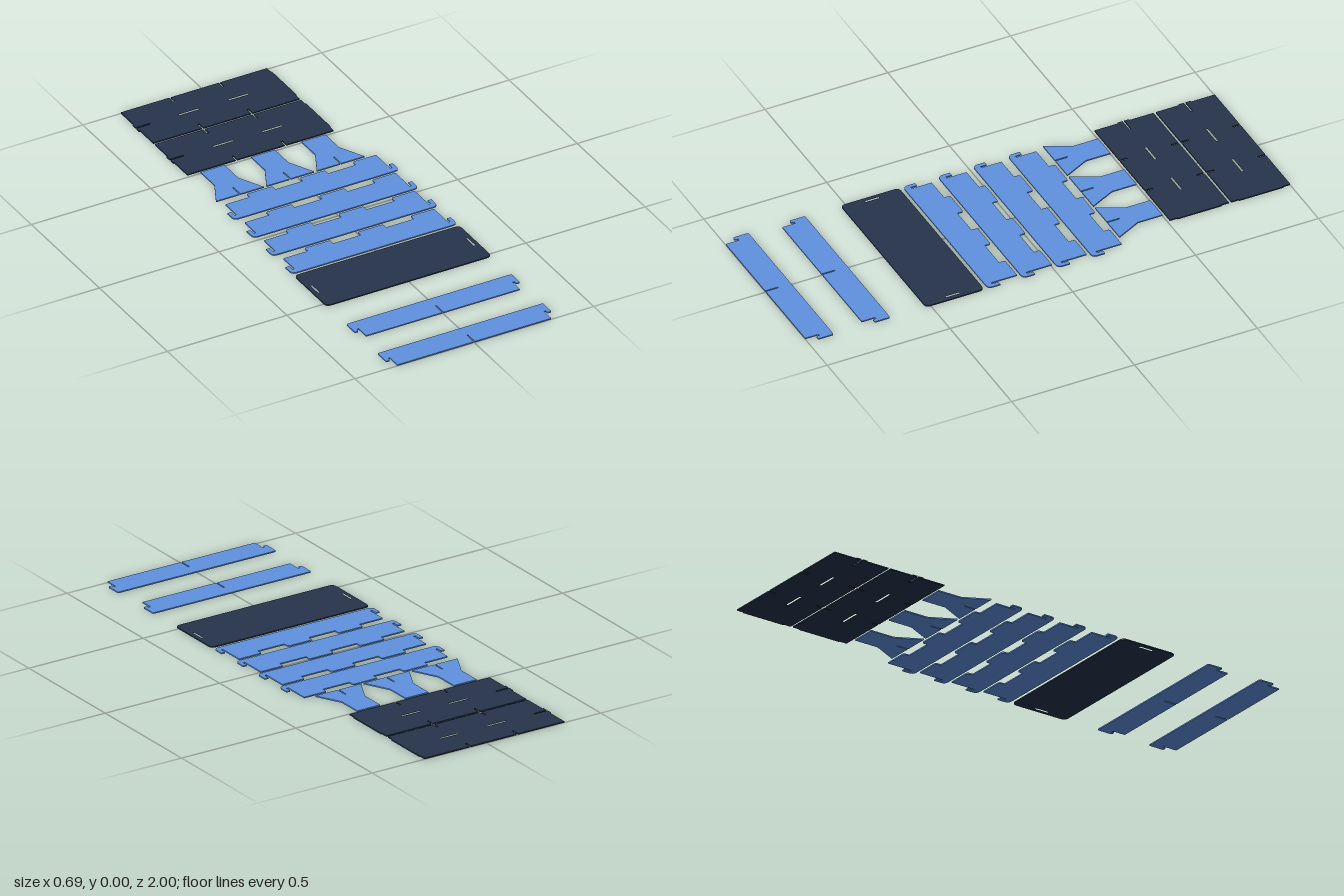
import * as THREE from 'three';

const T = 0.005; // sheet thickness
const blue = new THREE.MeshStandardMaterial({ color: 0x5f92e0 });
const navy = new THREE.MeshStandardMaterial({ color: 0x26344c });

// Points are [x, z, cornerRadius]; shape y is -z so the sheet can be laid flat
function trace(path, pts) {
  const v = pts.map(([x, z]) => new THREE.Vector2(x, -z));
  const toward = (a, b, d) => a.clone().add(b.clone().sub(a).setLength(d));
  pts.forEach(([, , r = 0], i) => {
    const p = v[i], prev = v[(i + v.length - 1) % v.length], next = v[(i + 1) % v.length];
    const a = r ? toward(p, prev, r) : p;
    if (i === 0) path.moveTo(a.x, a.y);
    else path.lineTo(a.x, a.y);
    if (r) {
      const b = toward(p, next, r);
      path.quadraticCurveTo(p.x, p.y, b.x, b.y);
    }
  });
  path.closePath();
  return path;
}

const rect = (x0, x1, z0, z1, r = 0) => [[x0, z0, r], [x1, z0, r], [x1, z1, r], [x0, z1, r]];

// Flat sheet cut from an outline with optional holes
function sheet(name, material, outline, holes = []) {
  const shape = trace(new THREE.Shape(), outline);
  holes.forEach(h => shape.holes.push(trace(new THREE.Path(), h)));
  const geo = new THREE.ExtrudeGeometry(shape, { depth: T, bevelEnabled: false, curveSegments: 5 });
  geo.rotateX(-Math.PI / 2);
  const mesh = new THREE.Mesh(geo, material);
  mesh.name = name;
  return mesh;
}

// Slit cut into an edge at z, going inward to zIn
const slit = (x, z, zIn, h, dir = 1) =>
  [[x - h * dir, z], [x - h * dir, zIn], [x + h * dir, zIn], [x + h * dir, z]];

export function createModel() {
  const group = new THREE.Group();
  const place = (mesh, x, z) => {
    mesh.position.set(x, 0, z);
    group.add(mesh);
  };

  // Two large slotted panels at the back
  const h = 0.0035;
  const panel = [
    [-0.341, -0.12], ...slit(-0.135, -0.12, -0.09, h), ...slit(0.071, -0.12, -0.09, h),
    [0.271, -0.12], [0.271, -0.09], [0.275, -0.09], [0.275, 0.09], [0.271, 0.09], [0.271, 0.12],
    ...slit(0.071, 0.12, 0.09, h, -1), ...slit(-0.135, 0.12, 0.09, h, -1),
    [-0.341, 0.12], [-0.341, 0.024], [-0.346, 0.024], [-0.346, h], [-0.288, h],
    [-0.288, -h], [-0.346, -h], [-0.346, -0.024], [-0.341, -0.024],
  ];
  const panelSlots = [-0.124, 0.083].map(x => rect(x - 0.041, x + 0.041, -h, h));
  [-0.88, -0.63].forEach(z => place(sheet('slottedPanel', navy, panel, panelSlots), 0, z));

  // Three flared feet
  const foot = [
    [-0.05, -0.1], [0.05, -0.1], [0.05, 0], [0.1, 0.1],
    ...slit(0, 0.1, 0.05, 0.0025, -1), [-0.1, 0.1], [-0.05, 0],
  ];
  [-0.241, -0.03, 0.181].forEach(x => place(sheet('flaredFoot', blue, foot), x, -0.4));

  // Four tabbed slats with upturned hooks at both ends
  const tab = (a, b) => [[a, 0.024], [a, 0, 0.008], [b, 0, 0.008], [b, 0.024]];
  const slat = [
    [-0.322, 0.024], ...tab(-0.22, -0.113), ...tab(0.002, 0.108),
    [0.224, 0.024], [0.224, 0, 0.008], [0.322, 0],
    [0.322, 0.105], [0.33, 0.105], [0.33, 0.08], [0.346, 0.08],
    [0.346, 0.13, 0.02], [-0.346, 0.13, 0.02],
    [-0.346, 0.08], [-0.33, 0.08], [-0.33, 0.105], [-0.322, 0.105],
  ];
  for (let i = 0; i < 4; i++) place(sheet('tabbedSlat', blue, slat), 0, -0.288 + i * 0.142);

  // Rounded plate with a slot near each end
  const plateSlots = [-0.326, 0.326].map(x => rect(x - h, x + h, -0.028, 0.028));
  place(sheet('roundedPlate', navy, rect(-0.346, 0.346, -0.119, 0.119, 0.02), plateSlots), 0, 0.402);

  // Two front rails with downturned hooks and a centre slit
  const rail = [
    [-0.346, 0, 0.006], [0.346, 0, 0.006], [0.346, 0.063, 0.005], [0.33, 0.063, 0.005],
    [0.33, 0.05], [0.322, 0.05], [0.322, 0.104],
    ...slit(0, 0.104, 0.052, 0.0025, -1),
    [-0.322, 0.104], [-0.322, 0.05], [-0.33, 0.05], [-0.33, 0.063, 0.005], [-0.346, 0.063, 0.005],
  ];
  [0.666, 0.896].forEach(z => place(sheet('frontRail', blue, rail), 0, z));

  return group;
}
